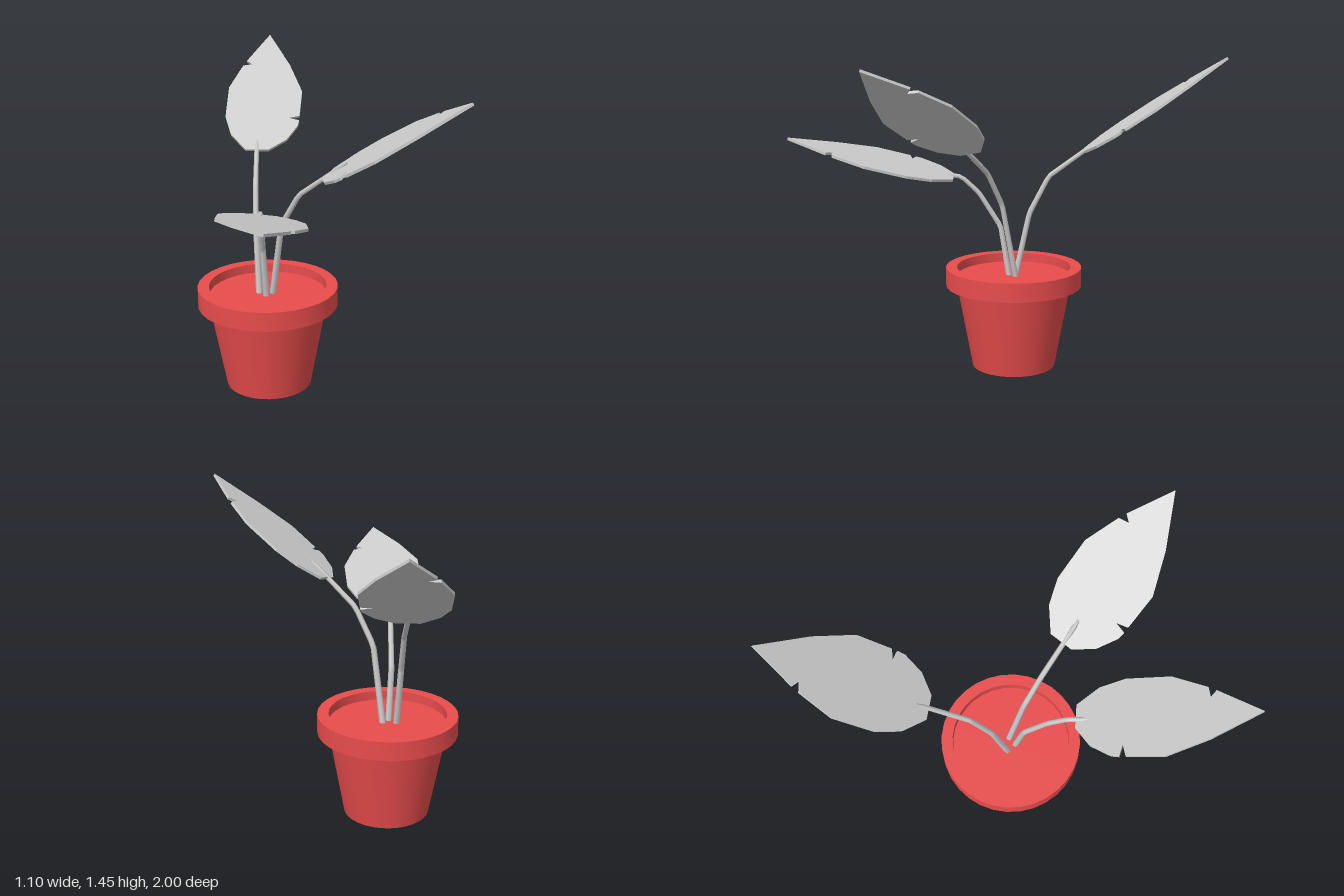
import * as THREE from 'three';
import { toCreasedNormals } from 'three/addons/utils/BufferGeometryUtils.js';

const grey = new THREE.MeshStandardMaterial({ color: 0xcccccc, side: THREE.DoubleSide });
const red = new THREE.MeshStandardMaterial({ color: 0xe84c4c });

// One leaf outline shared by all blades: [across, along], base at 0, torn on both edges.
const LEAF_LENGTH = 0.78;
const rightEdge = [[0.055, 0.005], [0.135, 0.07], [0.182, 0.16], [0.186, 0.195], [0.135, 0.208],
  [0.186, 0.222], [0.188, 0.385], [0.116, 0.565]];
const leftEdge = [[-0.1, 0.59], [-0.07, 0.566], [-0.115, 0.557], [-0.17, 0.404], [-0.167, 0.212],
  [-0.13, 0.1], [-0.052, 0.005]];

// Thin blade running from base to tip; positive roll lifts its right edge.
function makeLeaf(base, tip, roll) {
  const outline = [...rightEdge, [0, LEAF_LENGTH], ...leftEdge];
  const shape = new THREE.Shape(outline.map((p) => new THREE.Vector2(...p)));
  const geo = new THREE.ExtrudeGeometry(shape, { depth: 0.012, bevelEnabled: false });
  const start = new THREE.Vector3(...base);
  const along = new THREE.Vector3(...tip).sub(start);
  const stretch = along.length() / LEAF_LENGTH;
  along.normalize();
  const across = along.clone().cross(new THREE.Vector3(0, 1, 0)).normalize().applyAxisAngle(along, -roll);
  const normal = across.clone().cross(along);
  along.multiplyScalar(stretch);
  geo.applyMatrix4(new THREE.Matrix4().makeBasis(across, along, normal).setPosition(start));
  return new THREE.Mesh(geo, grey);
}

// Stalk with straight runs between bends (zero tension), thinning towards the leaf.
function makeStem(points) {
  const segments = 24, sides = 6;
  const curve = new THREE.CatmullRomCurve3(points.map((p) => new THREE.Vector3(...p)), false, 'catmullrom', 0);
  const geo = new THREE.TubeGeometry(curve, segments, 0.015, sides);
  const p = geo.attributes.position, v = new THREE.Vector3();
  for (let i = 0; i < p.count; i++) {
    const t = Math.floor(i / (sides + 1)) / segments;
    const c = curve.getPointAt(t);
    v.fromBufferAttribute(p, i).sub(c).multiplyScalar(t === 1 ? 0.3 : 1 - 0.3 * t).add(c);
    p.setXYZ(i, v.x, v.y, v.z);
  }
  return new THREE.Mesh(geo, grey);
}

export function createModel() {
  const group = new THREE.Group();

  function addPlant(name, base, tip, roll, stemPoints) {
    const leaf = makeLeaf(base, tip, roll);
    leaf.name = name + 'Leaf';
    const stem = makeStem(stemPoints);
    stem.name = name + 'Stem';
    group.add(leaf, stem);
  }

  // Pot with stepped rim and recessed soil surface
  const profile = [[0, 0], [0.195, 0], [0.266, 0.39], [0.317, 0.39], [0.317, 0.478],
    [0.266, 0.478], [0.266, 0.435], [0, 0.435]].map((p) => new THREE.Vector2(...p));
  const pot = new THREE.Mesh(toCreasedNormals(new THREE.LatheGeometry(profile, 32), 0.6), red);
  pot.name = 'pot';
  pot.position.set(-0.236, 0, -0.03);
  group.add(pot);

  // Three stalks, each carrying one leaf
  addPlant('back', [-0.28, 1.008, -0.36], [-0.21, 1.438, -1], 0,
    [[-0.275, 0.42, -0.04], [-0.285, 0.72, -0.105], [-0.285, 0.895, -0.195], [-0.278, 1.052, -0.41]]);
  addPlant('front', [-0.245, 0.892, 0.245], [-0.24, 1.077, 1], 0.12,
    [[-0.242, 0.42, -0.01], [-0.255, 0.665, 0.03], [-0.258, 0.825, 0.13], [-0.26, 0.9, 0.21], [-0.26, 0.915, 0.3]]);
  addPlant('left', [0.03, 1.045, 0.165], [0.547, 1.437, 0.587], -0.25,
    [[-0.215, 0.42, -0.04], [-0.172, 0.78, 0.025], [-0.095, 0.94, 0.092], [0.1, 1.12, 0.235]]);
  return group;
}
